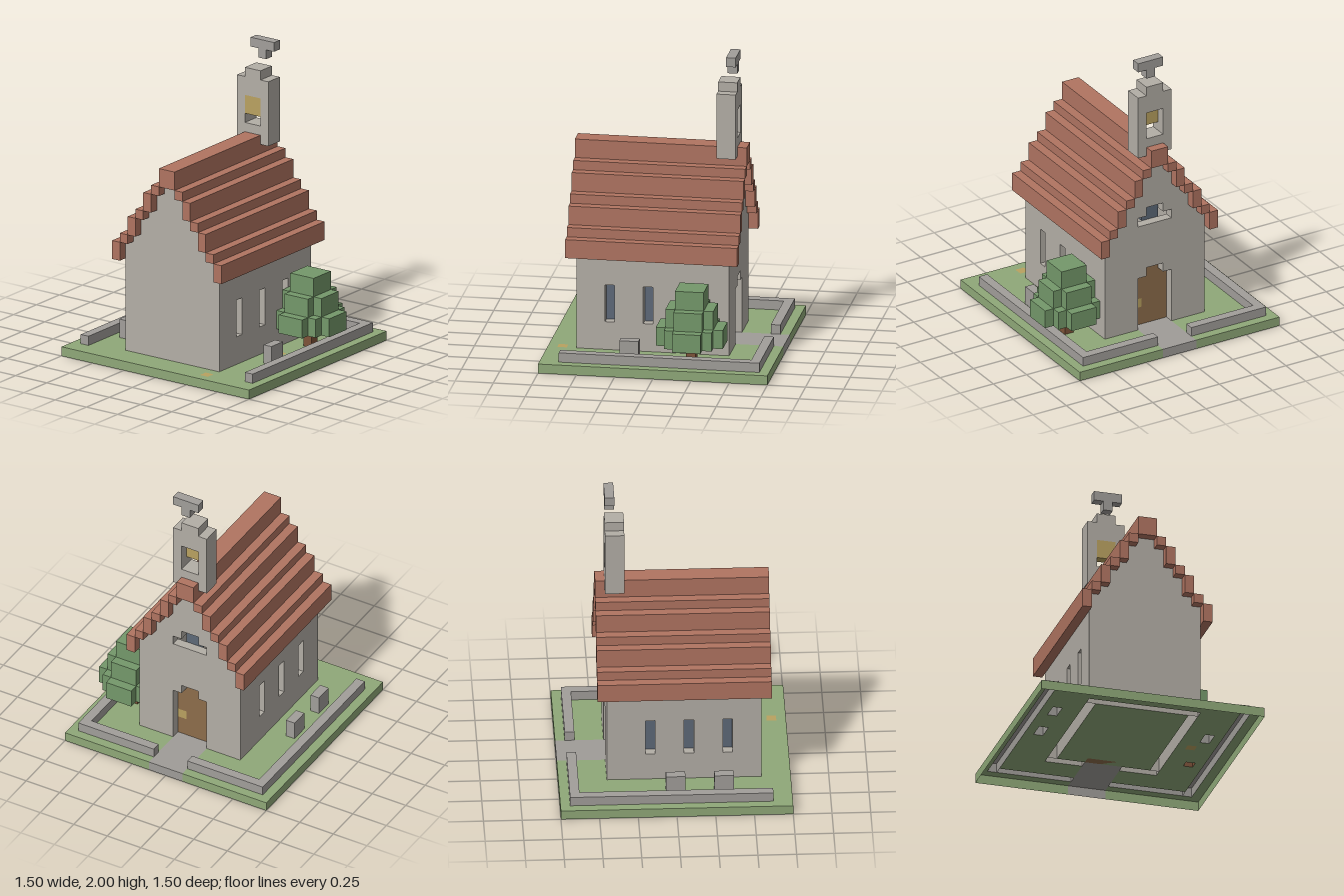
import * as THREE from 'three';

const UNIT = 1 / 16; // everything below is measured in blocks of this size

const material = (color) => new THREE.MeshStandardMaterial({ color, side: THREE.DoubleSide });
const grass = material(0x8fa878), stone = material(0xb3aea6), slab = material(0xa19e9a);
const pathStone = material(0x9f9c98), tile = material(0xb07461), leaf = material(0x74986a);
const glass = material(0x5d6978), wood = material(0x8d6d4b), gold = material(0xb9a160);
const bark = material(0x7d5238);

// Removes the faces lying on the lowest level, leaving a shell open below
function openBelow(geometry) {
  const g = geometry.index ? geometry.toNonIndexed() : geometry;
  g.computeBoundingBox();
  const low = g.boundingBox.min.y + 1e-4, p = g.attributes.position, keep = [];
  for (let i = 0; i < p.count; i += 3) {
    if (p.getY(i) > low || p.getY(i + 1) > low || p.getY(i + 2) > low) keep.push(i, i + 1, i + 2);
  }
  g.setIndex(keep);
  return g;
}

function add(parent, name, geometry, mat) {
  const mesh = new THREE.Mesh(geometry, mat);
  mesh.name = name;
  parent.add(mesh);
  return mesh;
}

function boxGeometry(x0, x1, y0, y1, z0, z1) {
  return new THREE.BoxGeometry(x1 - x0, y1 - y0, z1 - z0)
    .translate((x0 + x1) / 2, (y0 + y1) / 2, (z0 + z1) / 2);
}

const box = (parent, name, mat, ...b) => add(parent, name, boxGeometry(...b), mat);
const shell = (parent, name, mat, ...b) => add(parent, name, openBelow(boxGeometry(...b)), mat);

const points = (list) => list.map(([x, y]) => new THREE.Vector2(x, y));
const rect = (x0, x1, y0, y1) => [[x0, y0], [x1, y0], [x1, y1], [x0, y1]];
const mirrored = (half) => [...half, ...half.map(([x, y]) => [-x, y]).reverse()];

function shapeOf(outline, holes = []) {
  const shape = new THREE.Shape(points(outline));
  holes.forEach((h) => shape.holes.push(new THREE.Path(points(h))));
  return shape;
}

const extrude = (outline, holes, depth) =>
  new THREE.ExtrudeGeometry(shapeOf(outline, holes), { depth, bevelEnabled: false });

// Flat sheet drawn in x and z, lying at height y
function sheet(parent, name, mat, outline, holes = [], y = 1) {
  const flip = (list) => list.map(([x, z]) => [x, -z]);
  const g = new THREE.ShapeGeometry(shapeOf(flip(outline), holes.map(flip)));
  add(parent, name, g.rotateX(-Math.PI / 2).translate(0, y, 0), mat);
}

// Roof steps on one side: outer x, bottom, top
const STEPS = [[7, 11, 13], [6, 13, 14], [5, 14, 16], [4, 16, 17], [3, 17, 19], [2, 19, 20]];
const GRAVES = [[-9, -1], [-9, 4], [8, 2]];
const FLOWERS = [[7, 0], [5, 10]];

function makeGround() {
  const ground = new THREE.Group();
  ground.name = 'ground';
  // Lawn, cut out under the path, the garden wall and the building
  const half = [[12, 12], [12, -12], [2, -12], [2, -11], [11, -11], [11, 10], [10, 10],
    [10, -10], [2, -10], [2, -7], [6, -7], [6, 9]];
  const holes = [
    ...GRAVES.map(([x, z]) => rect(x, x + 1, z, z + 2)),
    ...FLOWERS.map(([x, z]) => rect(x, x + 1, z, z + 1)).slice(0, 1),
    rect(5, 6, 10, 11), rect(8, 9, -4, -3),
  ];
  sheet(ground, 'lawn', grass, mirrored(half), holes);
  sheet(ground, 'floor', grass, rect(-5, 5, -6, 8));
  sheet(ground, 'path', pathStone, rect(-2, 2, -12, -6));
  FLOWERS.forEach(([x, z]) => sheet(ground, 'flower', gold, rect(x, x + 1, z, z + 1)));

  // Rim around the lawn, with the end of the path in it
  const edge = (name, mat, w, x, z, turn) => add(ground, name,
    new THREE.PlaneGeometry(w, 1).rotateY(turn).translate(x, 0.5, z), mat);
  edge('frontRim', grass, 24, 0, 12, 0);
  edge('pathRim', pathStone, 4, 0, -12, Math.PI);
  for (const s of [-1, 1]) {
    edge('sideRim', grass, 24, s * 12, 0, s * Math.PI / 2);
    edge('backRim', grass, 10, s * 7, -12, Math.PI);
  }
  return ground;
}

function makeYard() {
  const yard = new THREE.Group();
  yard.name = 'yard';
  // Low garden wall
  shell(yard, 'gardenWallRight', slab, -11, -10, 1, 2, -11, 10);
  shell(yard, 'gardenWallLeft', slab, 10, 11, 1, 2, -11, 10);
  shell(yard, 'gardenWallBack', slab, -10, -2, 1, 2, -11, -10);
  shell(yard, 'gardenWallBack', slab, 2, 10, 1, 2, -11, -10);
  GRAVES.forEach(([x, z]) => shell(yard, 'gravestone', slab, x, x + 1, 1, 3, z, z + 2));

  // Tree: rows of x0, x1, y0, y1, z0, z1 in three tiers
  shell(yard, 'treeTrunk', bark, 8, 9, 1, 3, -4, -3);
  const rows = [
    [7, 10, 3, 5, -7, -6], [6, 11, 3, 5, -6, -5], [6, 12, 3, 5, -5, -2],
    [6, 11, 3, 5, -2, -1], [7, 10, 3, 5, -1, 0],
    [7, 10, 5, 7, -6, -5], [6, 11, 5, 7, -5, -2], [7, 10, 5, 7, -2, -1],
    [7, 10, 7, 9, -5, -2],
  ];
  rows.forEach((r) => box(yard, 'treeLeaves', leaf, ...r));
  return yard;
}

function makeChapel() {
  const chapel = new THREE.Group();
  chapel.name = 'chapel';

  // Gable outline follows the underside of the roof steps
  const slope = [[6, 1]];
  STEPS.slice(0, -1).forEach(([x, , top]) => slope.push([x - 1, top], [x - 2, top]));
  const gable = [[6, 1], [6, 13]];
  for (let i = 1; i < STEPS.length; i++) {
    gable.push([STEPS[i][0] - 1, STEPS[i - 1][2]], [STEPS[i][0] - 1, STEPS[i][2]]);
  }
  const doorway = [[1, 8], [1, 7], [2, 7], [2, 1]];
  const gableWindow = mirrored([[2, 13], [2, 14], [1, 14], [1, 15]]);
  add(chapel, 'frontWall', openBelow(extrude(mirrored(gable), [], 1).translate(0, 0, 8)), stone);
  add(chapel, 'backWall', openBelow(
    extrude(mirrored([...doorway, ...gable]), [gableWindow], 1).translate(0, 0, -7)), stone);

  // Side walls with three slit windows and recessed panes
  const slits = [-3, 1, 5];
  for (const s of [-1, 1]) {
    const wall = extrude(rect(-8, 6, 1, 13), slits.map((z) => rect(-z - 1, -z, 4, 8)), 1)
      .rotateY(Math.PI / 2).translate(s > 0 ? 5 : -6, 0, 0);
    add(chapel, s > 0 ? 'leftWall' : 'rightWall', openBelow(wall), stone);
    slits.forEach((z) => box(chapel, 'windowPane', glass,
      s * 4.5 - 0.5, s * 4.5 + 0.5, 4, 8, z, z + 1));
  }
  box(chapel, 'gablePane', glass, -1, 1, 13, 15, -6, -5);

  // Arched door with a handle
  const door = mirrored([[2, 1], [2, 7], [1, 7], [1, 8]]);
  add(chapel, 'door', extrude(door, [rect(1.001, 1.999, 3, 4)], 1).translate(0, 0, -6), wood);
  box(chapel, 'doorHandle', gold, 1, 2, 3, 4, -6, -5.01);

  // Stepped roof
  for (const [x, y0, y1] of STEPS) {
    box(chapel, 'roofStep', tile, x - 1, x, y0, y1, -8, 10);
    box(chapel, 'roofStep', tile, -x, 1 - x, y0, y1, -8, 10);
  }
  box(chapel, 'roofRidge', tile, -1, 1, 20, 22, -8, 10);
  return chapel;
}

function makeTower() {
  const tower = new THREE.Group();
  tower.name = 'bellTower';
  add(tower, 'towerWall',
    extrude(rect(-2, 2, 21, 28), [rect(-1, 1, 23, 26)], 2).translate(0, 0, -7), stone);
  box(tower, 'towerCap', stone, -1, 1, 28, 29, -7, -5);
  box(tower, 'bell', gold, -1, 1, 24, 26, -6, -5);
  box(tower, 'crossStem', slab, 0, 1, 30, 31, -7, -6);
  box(tower, 'crossArm', slab, -1, 2, 31, 32, -7, -6);
  return tower;
}

export function createModel() {
  const model = new THREE.Group();
  model.name = 'chapelModel';
  model.add(makeGround(), makeYard(), makeChapel(), makeTower());
  model.scale.setScalar(UNIT);
  return model;
}
